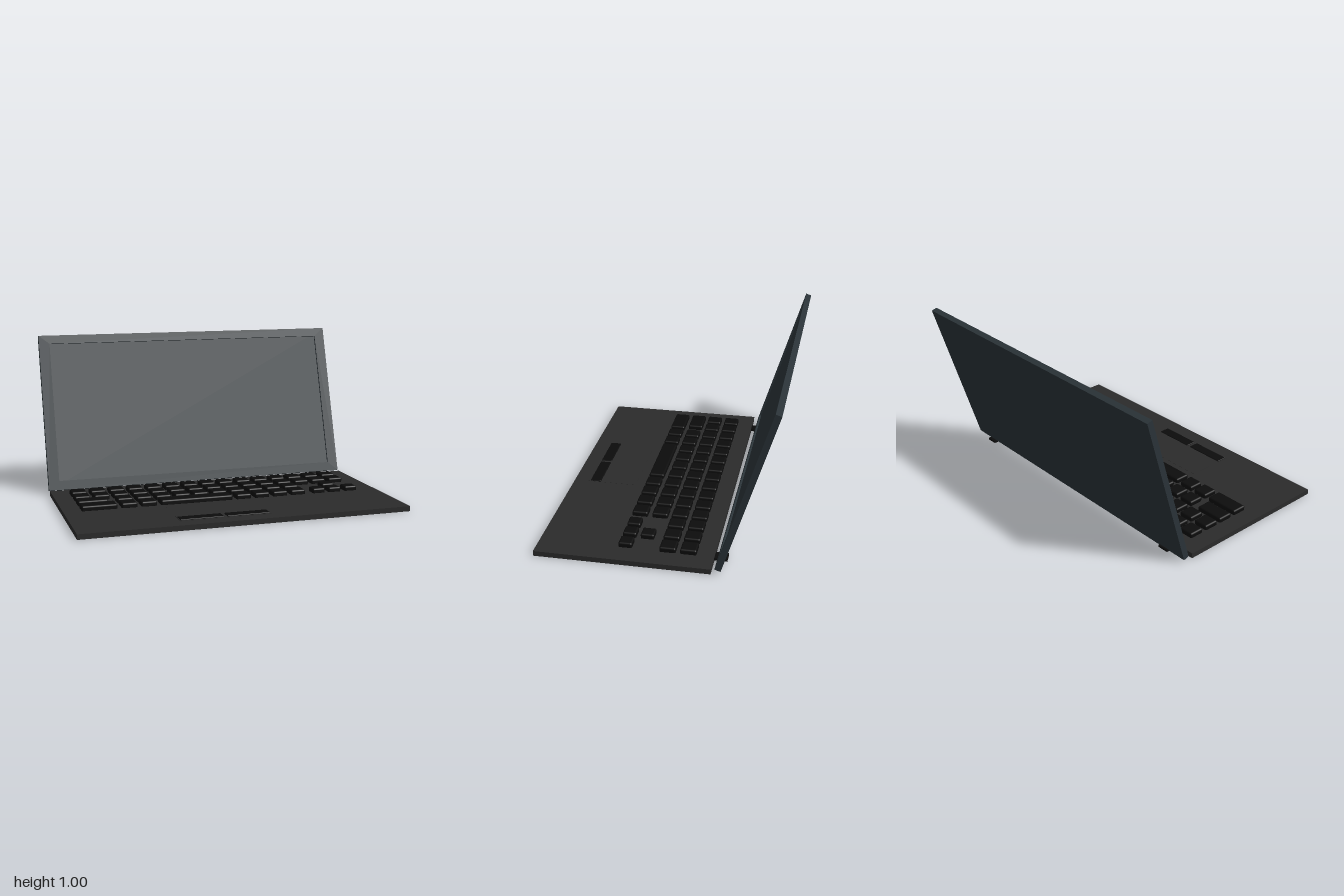
import * as THREE from 'three';
import { RoundedBoxGeometry } from 'three/addons/geometries/RoundedBoxGeometry.js';

export function createModel() {
  const laptop = new THREE.Group();
  laptop.name = 'laptop';
  const caseMat = new THREE.MeshStandardMaterial({ color: 0x2b2b2b });
  const lidMat = new THREE.MeshStandardMaterial({ color: 0x2a3338 });
  const keyMat = new THREE.MeshStandardMaterial({ color: 0x0c0c0c });

  const add = (parent, name, geometry, material, x, y, z) => {
    const mesh = new THREE.Mesh(geometry, material);
    mesh.name = name;
    mesh.position.set(x, y, z);
    parent.add(mesh);
    return mesh;
  };
  // Box given by its limits on each axis
  const slab = (parent, name, material, [x0, x1], [y0, y1], [z0, z1]) =>
    add(parent, name, new THREE.BoxGeometry(x1 - x0, y1 - y0, z1 - z0), material,
      (x0 + x1) / 2, (y0 + y1) / 2, (z0 + z1) / 2);

  // Base
  slab(laptop, 'base', caseMat, [-1, 1], [0, 0.031], [-0.33, 0.69]);

  // Keyboard: 15 columns in four rows, with wide keys and an arrow cluster
  const keyboard = new THREE.Group();
  keyboard.name = 'keyboard';
  laptop.add(keyboard);
  const pitch = 0.1196, firstX = -0.845, keySize = 0.095;
  const rowZ = [-0.182, -0.062, 0.056, 0.178];
  const key = (name, x, z, width = keySize, depth = keySize) =>
    add(keyboard, name, new RoundedBoxGeometry(width, 0.036, depth, 2, 0.01), keyMat, x, 0.042, z);
  const run = (row, from, to) => {
    for (let i = from; i <= to; i++) key('key', firstX + i * pitch, rowZ[row]);
  };
  run(0, 0, 14);
  run(1, 0, 14);
  run(2, 2, 11);
  run(3, 2, 3);
  run(3, 8, 11);
  key('wideKey', -0.802, rowZ[2], 0.182);
  key('wideKey', -0.786, rowZ[3], 0.213);
  key('spaceBar', -0.187, rowZ[3], 0.45);
  key('arrowKey', 0.719, 0.08, 0.082, 0.08);
  for (const x of [0.612, 0.719, 0.829]) key('arrowKey', x, 0.185, 0.082, 0.08);

  // Touchpad and its two buttons
  slab(laptop, 'touchpad', caseMat, [-0.4, 0.15], [0.02, 0.032], [0.29, 0.605]);
  for (const x of [-0.265, 0.016])
    add(laptop, 'touchpadButton', new RoundedBoxGeometry(0.26, 0.016, 0.068, 2, 0.004), keyMat, x, 0.029, 0.554);

  // Hinges
  for (const x of [-0.84, 0.84])
    slab(laptop, 'hinge', keyMat, [x - 0.035, x + 0.035], [0.01, 0.023], [-0.405, -0.32]);

  // Lid: local y runs up the screen, local z faces the keyboard
  const lid = new THREE.Group();
  lid.name = 'lid';
  lid.position.set(0, 0.025, -0.372);
  lid.rotation.set(-0.301, -0.005, 0.002);
  laptop.add(lid);
  const height = 1.01;
  slab(lid, 'screenBack', lidMat, [-1, 1], [0, height], [-0.018, 0.006]);

  // Bezel around the recessed screen
  const rect = (shape, x, y0, y1) => {
    shape.moveTo(-x, y0).lineTo(x, y0).lineTo(x, y1).lineTo(-x, y1).closePath();
    return shape;
  };
  const frame = rect(new THREE.Shape(), 1, 0, height);
  frame.holes.push(rect(new THREE.Path(), 0.932, 0.058, 0.955));
  add(lid, 'bezel', new THREE.ExtrudeGeometry(frame, { depth: 0.012, bevelEnabled: false }), lidMat, 0, 0, 0.006);

  return laptop;
}
